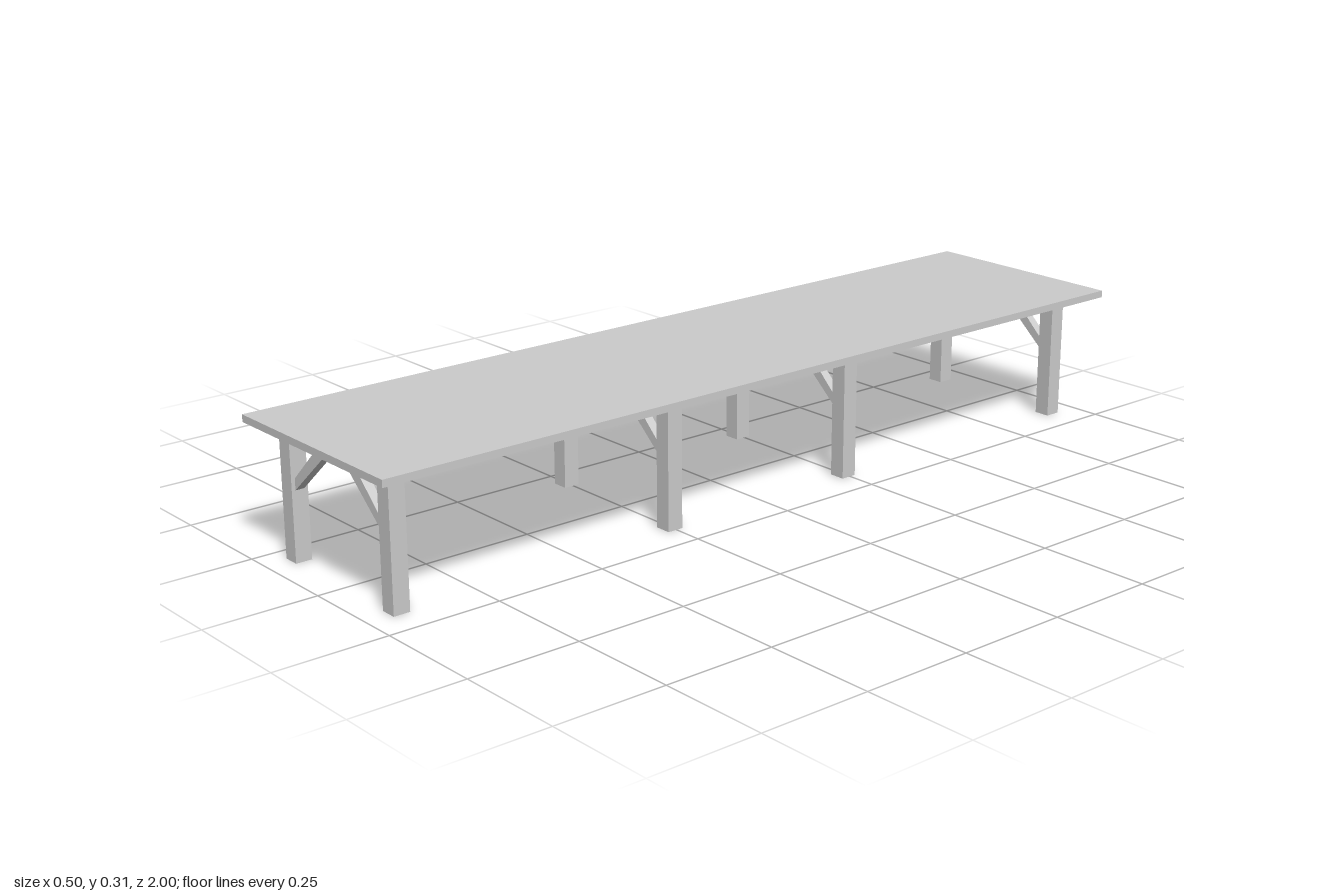
import * as THREE from 'three';

const material = new THREE.MeshStandardMaterial({ color: 0xcccccc, flatShading: true });

const TOP_Y = 0.29;       // underside of the table top
const TOP_THICK = 0.016;
const LEG = 0.037;
const LEG_X = 0.176;      // leg centre, from the middle of the trestle
const BRACE_DEPTH = 0.02;
const TRESTLE_X = -0.0125;

function addBox(parent, name, size, position) {
  const mesh = new THREE.Mesh(new THREE.BoxGeometry(...size), material);
  mesh.name = name;
  mesh.position.set(...position);
  parent.add(mesh);
}

// Diagonal brace, cut flush to the leg and the table top
function braceGeometry(side) {
  const inner = LEG_X - LEG / 2;
  const points = [[inner, 0.154], [inner, 0.179], [0.041, TOP_Y], [0, TOP_Y]];
  const shape = new THREE.Shape(points.map(([x, y]) => new THREE.Vector2(side * x, y)));
  return new THREE.ExtrudeGeometry(shape, { depth: BRACE_DEPTH, bevelEnabled: false })
    .translate(0, 0, -BRACE_DEPTH / 2);
}

// Two legs with their braces
function createTrestle(z) {
  const trestle = new THREE.Group();
  trestle.name = 'trestle';
  trestle.position.set(TRESTLE_X, 0, z);
  for (const side of [-1, 1]) {
    const label = side > 0 ? 'left' : 'right';
    addBox(trestle, label + 'Leg', [LEG, TOP_Y, LEG], [side * LEG_X, TOP_Y / 2, 0]);
    const brace = new THREE.Mesh(braceGeometry(side), material);
    brace.name = label + 'Brace';
    trestle.add(brace);
  }
  return trestle;
}

export function createModel() {
  const table = new THREE.Group();
  table.name = 'table';
  addBox(table, 'tableTop', [0.5, TOP_THICK, 2], [0, TOP_Y + TOP_THICK / 2, 0]);
  for (const z of [0.927, 0.253, -0.246, -0.924]) table.add(createTrestle(z));
  return table;
}
